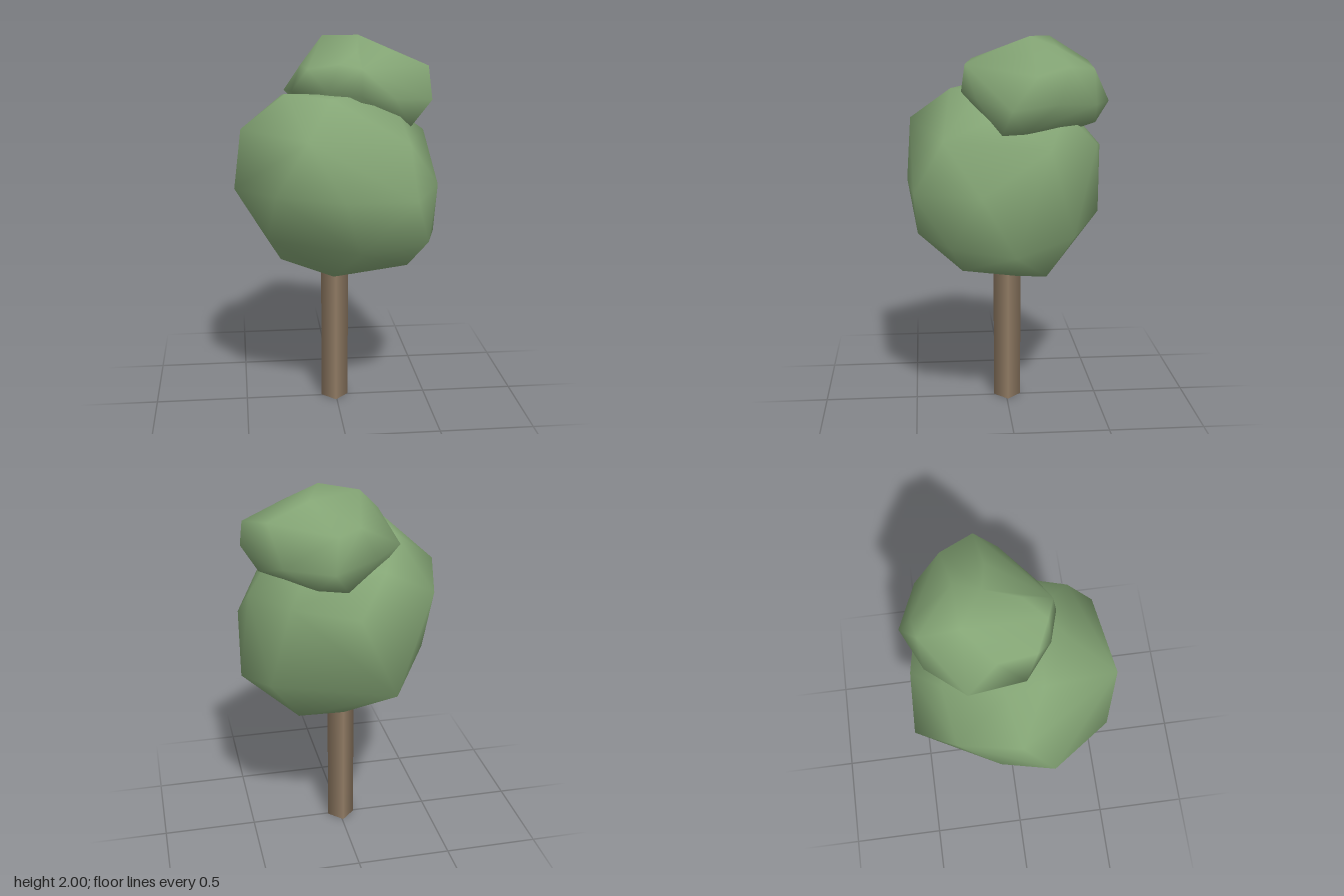
import * as THREE from 'three';
import { mergeVertices } from 'three/addons/utils/BufferGeometryUtils.js';
import { ConvexGeometry } from 'three/addons/geometries/ConvexGeometry.js';

const leafGreen = new THREE.MeshStandardMaterial({ name: 'leafGreen', color: 0x84a575 });
const barkBrown = new THREE.MeshStandardMaterial({ name: 'barkBrown', color: 0x8f7a63 });

// Irregular leafy clump: convex hull of a few corners, shaded smoothly
function clump(name, corners) {
  const hull = new ConvexGeometry(corners.map((c) => new THREE.Vector3(...c)));
  hull.deleteAttribute('normal');
  const geometry = mergeVertices(hull, 1e-4);
  geometry.computeVertexNormals();
  const mesh = new THREE.Mesh(geometry, leafGreen);
  mesh.name = name;
  return mesh;
}

export function createModel() {
  const tree = new THREE.Group();
  tree.name = 'tree';

  // Four-sided trunk with its corners on the axes
  const trunk = new THREE.Mesh(new THREE.CylinderGeometry(0.074, 0.074, 0.9, 4), barkBrown);
  trunk.name = 'trunk';
  trunk.position.set(-0.006, 0.45, -0.006);
  tree.add(trunk);

  // Large round crown, listed from bottom to top
  tree.add(clump('lowerCrown', [
    [0.06, 0.713, -0.06], [-0.06, 0.72, -0.01], [-0.02, 0.73, 0.08],
    [0.26, 0.77, -0.19], [-0.3, 0.82, 0.02], [0.02, 0.77, -0.2],
    [-0.1, 0.84, 0.25], [0.35, 0.84, 0.25],
    [0.535, 0.95, -0.01], [0.45, 0.98, 0.31], [0.08, 0.97, 0.475], [-0.375, 1.0, 0.26],
    [0.42, 1.02, -0.31], [-0.18, 1.01, -0.53], [-0.43, 1.07, -0.1],
    [0.36, 1.24, 0.49], [-0.34, 1.27, 0.45], [-0.54, 1.25, 0.16], [0, 1.25, 0.525],
    [0.52, 1.25, 0.16], [-0.42, 1.46, -0.31], [0, 1.42, -0.5],
    [0.5, 1.48, -0.18], [0.33, 1.48, -0.43], [0.34, 1.5, 0.34],
    [-0.5, 1.53, 0], [-0.18, 1.55, 0.505], [-0.16, 1.6, -0.35],
    [0.32, 1.62, 0.06], [0.22, 1.62, -0.28], [0, 1.66, -0.25],
    [-0.28, 1.7, -0.05], [-0.27, 1.73, 0.13], [-0.05, 1.72, 0.29], [0.13, 1.72, 0.15],
  ]));

  // Smaller flattened crown, set towards the back left
  tree.add(clump('upperCrown', [
    [0.18, 1.47, -0.15],
    [0.39, 1.535, 0.05], [0.43, 1.55, -0.06], [0.1, 1.54, 0.08],
    [0.04, 1.53, -0.4], [0.2, 1.57, -0.44], [-0.12, 1.55, -0.25],
    [0.13, 1.67, -0.52], [0.51, 1.67, 0.01], [0.36, 1.68, -0.42], [0.49, 1.7, -0.22],
    [-0.26, 1.7, -0.23], [-0.1, 1.7, -0.42], [0.29, 1.7, 0.17],
    [0.11, 1.72, 0.24], [-0.06, 1.74, 0.19], [-0.235, 1.73, 0.05],
    [0.51, 1.835, -0.11], [0.41, 1.87, -0.28], [0.1, 1.83, -0.45], [-0.01, 1.865, -0.43],
    [-0.155, 1.85, 0.11], [-0.18, 1.85, -0.08], [0.11, 1.86, 0.22], [0, 1.88, 0.18],
    [0.3, 1.92, -0.08], [0.1, 1.93, 0.07], [0.2, 1.95, -0.24],
    [-0.05, 1.99, -0.23], [0.13, 2, -0.11],
  ]));

  return tree;
}
